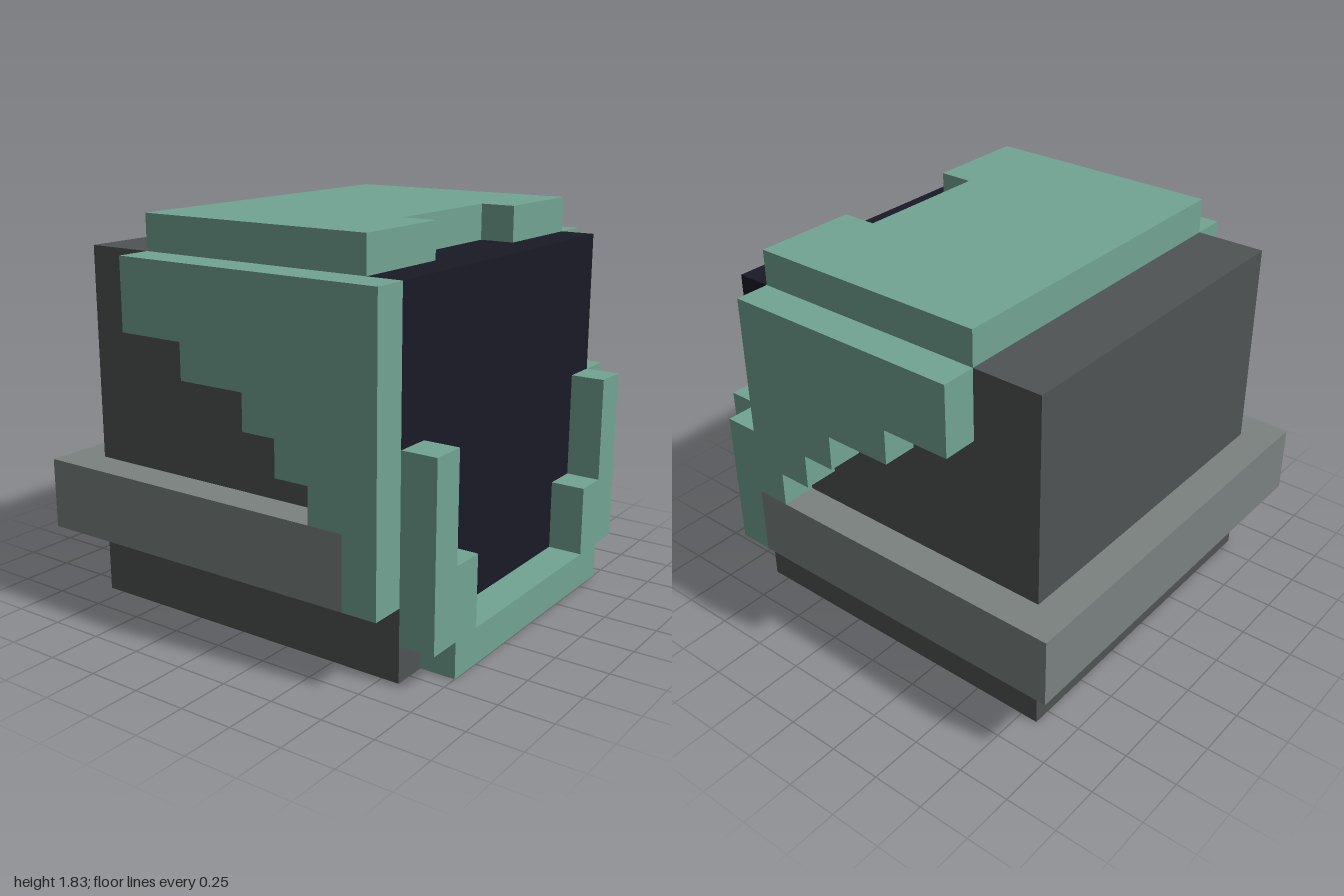
import * as THREE from 'three';

const U = 1 / 6; // one block of the grid; all sizes below are in blocks

function makeMaterial(name, color) {
  const m = new THREE.MeshStandardMaterial({ color });
  m.name = name;
  return m;
}

export function createModel() {
  const model = new THREE.Group();
  model.name = 'blockHelmet';
  const green = makeMaterial('sage green', 0x72a593);
  const grey = makeMaterial('dark grey', 0x4f5354);
  const band = makeMaterial('mid grey', 0x7b8280);
  const navy = makeMaterial('dark navy', 0x1a1a26);

  // box given by its two opposite corners
  function box(name, mat, [x0, y0, z0], [x1, y1, z1]) {
    const g = new THREE.BoxGeometry((x1 - x0) * U, (y1 - y0) * U, (z1 - z0) * U);
    g.translate((x0 + x1) / 2 * U, (y0 + y1) / 2 * U, (z0 + z1) / 2 * U);
    return add(name, mat, g);
  }
  function add(name, mat, geometry) {
    const mesh = new THREE.Mesh(geometry, mat);
    mesh.name = name;
    model.add(mesh);
    return mesh;
  }
  const outline = (pts, Type = THREE.Shape) =>
    new Type(pts.map(([a, b]) => new THREE.Vector2(a * U, b * U)));
  const extrude = (shape, depth) =>
    new THREE.ExtrudeGeometry(shape, { depth: depth * U, bevelEnabled: false });
  const square = (r) => [[-r, -r], [r, -r], [r, r], [-r, r]];

  // upright square tube, open at both ends
  function tube(name, mat, outer, inner, y0, y1) {
    const s = outline(square(outer));
    s.holes.push(outline(square(inner).reverse(), THREE.Path));
    const g = extrude(s, y1 - y0);
    g.rotateX(-Math.PI / 2);
    g.translate(0, y0 * U, 0);
    return add(name, mat, g);
  }

  // hollow shell
  tube('neckRim', grey, 5, 4, 0, 1);
  box('backWall', grey, [-5, 1, -5], [5, 10, -4]);
  box('crown', grey, [-4, 9, -4], [4, 10, 3]);
  box('brow', navy, [-5, 9, 3], [5, 10, 4]);
  box('faceLower', navy, [-4, 1, 4], [4, 2, 5]);
  box('faceUpper', navy, [-5, 2, 4], [5, 10, 5]);

  // dark interior
  tube('innerLining', navy, 4, 3.96, 1, 9);
  box('innerCeiling', navy, [-3.96, 8.96, -3.96], [3.96, 9, 3.96]);

  // stepped rear edge of the side panels as [z, y]; the front edge differs per side
  const panelRear = [
    [-3, 10], [-3, 8], [-1, 8], [-1, 7], [1, 7], [1, 6],
    [2, 6], [2, 5], [3, 5], [3, 4], [4, 4], [4, 2],
  ];
  const leftFront = [[5, 2], [5, 6], [4, 6], [4, 10]];
  const rightFront = [[5, 2], [5, 10]];

  for (const s of [-1, 1]) {
    const span = (a, b) => (s > 0 ? [a, b] : [-b, -a]);
    const sideBox = (name, mat, x, y, z) => {
      const [x0, x1] = span(...x);
      box(name, mat, [x0, y[0], z[0]], [x1, y[1], z[1]]);
    };
    sideBox('sideWall', grey, [4, 5], [1, 9], [-4, 4]);
    sideBox('sideWallTop', grey, [4, 5], [9, 10], [-4, 3]);
    sideBox('jawCorner', grey, [4, 5], [1, 2], [4, 5]);
    sideBox('sideBand', band, [5, 6], [2, 4], [-6, 4]);

    const front = s > 0 ? leftFront : rightFront;
    const g = extrude(outline([...front, ...panelRear]), 1);
    g.rotateY(-Math.PI / 2); // shape x becomes z, depth runs to -x
    g.translate((s > 0 ? 6 : -5) * U, 0, 0);
    add(s > 0 ? 'leftPanel' : 'rightPanel', green, g);
  }
  box('backBand', band, [-5, 2, -6], [5, 4, -5]);

  // top plate with a notch at the front
  const cap = extrude(outline([
    [-5, -4], [-2, -4], [-2, -3], [2, -3], [2, -4], [5, -4], [5, 3], [-5, 3],
  ]), 1);
  cap.rotateX(-Math.PI / 2); // shape y becomes -z
  cap.translate(0, 10 * U, 0);
  add('topPlate', green, cap);

  // stepped frame round the lower face
  const half = [[4, 0], [4, 1], [5, 1], [5, 6], [4, 6], [4, 3], [3, 3], [3, 1]];
  const mirrored = half.map(([x, y]) => [-x, y]).reverse();
  const frame = extrude(outline([...half, ...mirrored]), 1);
  frame.translate(0, 0, 5 * U);
  add('faceFrame', green, frame);

  return model;
}
